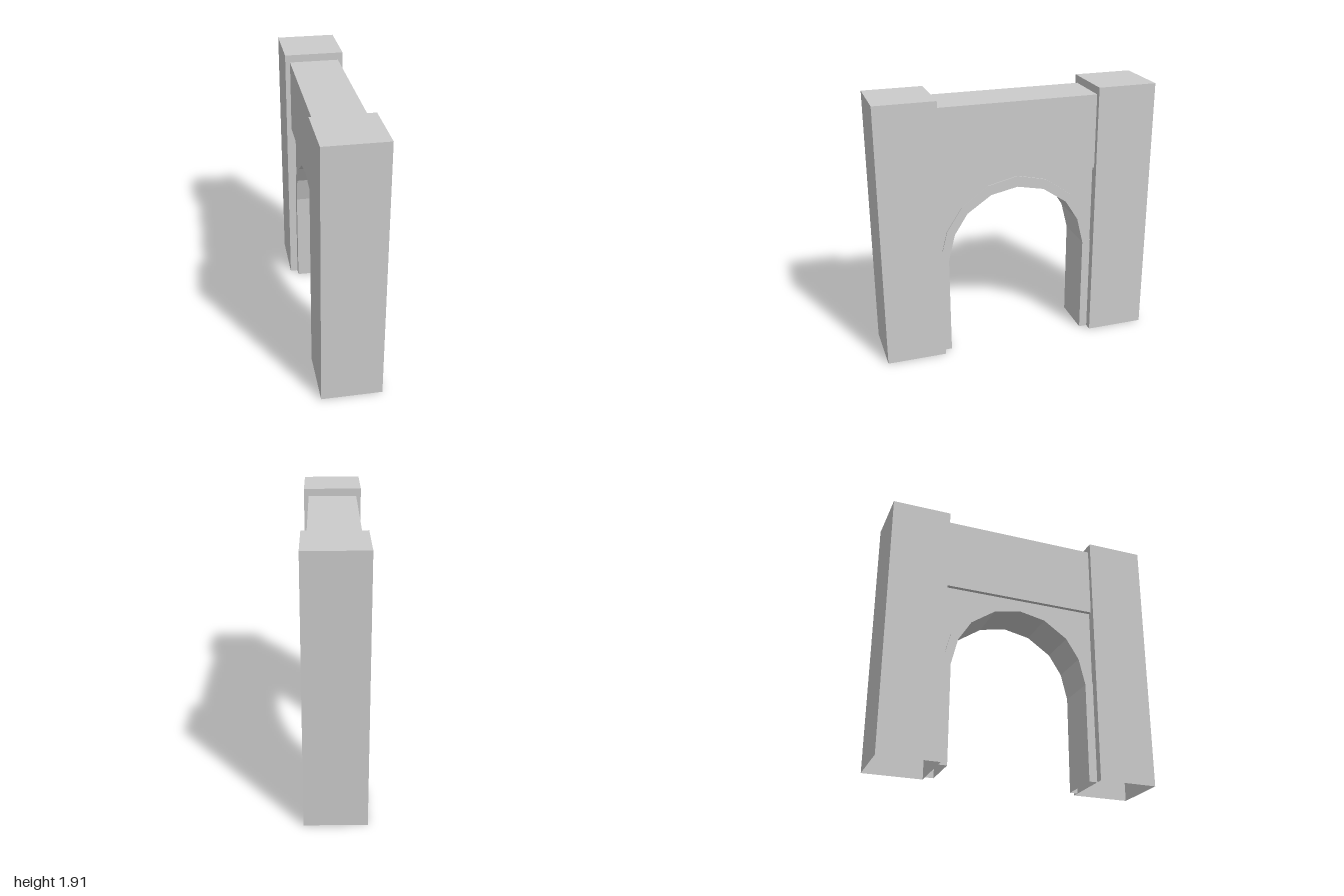
import * as THREE from 'three';

const stone = new THREE.MeshStandardMaterial({ color: 0xcccccc, side: THREE.DoubleSide });
stone.name = 'grey stone';

// The hollow parts stand open on the floor: remove every face lying on y = 0
function openFloor(geometry) {
  const geo = geometry.index ? geometry.toNonIndexed() : geometry;
  const p = geo.attributes.position;
  const keep = [];
  for (let i = 0; i < p.count; i += 3) {
    const onFloor = [0, 1, 2].every((k) => Math.abs(p.getY(i + k)) < 1e-4);
    if (!onFloor) keep.push(i, i + 1, i + 2);
  }
  geo.clearGroups();
  geo.setIndex(keep);
  return geo;
}

// Block resting at height y0, centred on x = 0
function block(name, width, y0, y1, z0, z1) {
  const geo = new THREE.BoxGeometry(width, y1 - y0, z1 - z0);
  geo.translate(0, (y0 + y1) / 2, (z0 + z1) / 2);
  const mesh = new THREE.Mesh(openFloor(geo), stone);
  mesh.name = name;
  return mesh;
}

// Outline in the z-y plane, extruded symmetrically across x
function slab(name, outline, width) {
  const shape = new THREE.Shape(outline.map(([z, y]) => new THREE.Vector2(z, y)));
  const geo = new THREE.ExtrudeGeometry(shape, { depth: width, bevelEnabled: false });
  geo.translate(0, 0, -width / 2);
  geo.rotateY(-Math.PI / 2);
  const mesh = new THREE.Mesh(openFloor(geo), stone);
  mesh.name = name;
  return mesh;
}

// Mirror half an arch (springing to crown) into a full curve
const fullArch = (half) => [
  ...half,
  ...half.slice(0, -1).reverse().map(([z, y]) => [-z, y]),
];

export function createModel() {
  const group = new THREE.Group();
  group.name = 'archway';

  // Two tall piers
  group.add(block('frontPier', 0.43, 0, 1.91, 0.573, 1));
  group.add(block('backPier', 0.43, 0, 1.91, -1, -0.573));

  // Beam across the top
  group.add(block('lintel', 0.36, 1.32, 1.855, -0.573, 0.573));

  // Arch ring with straight jambs
  const inner = fullArch([
    [0.513, 0], [0.513, 0.725], [0.465, 0.92], [0.37, 1.07], [0.195, 1.19], [0, 1.23],
  ]);
  const outer = fullArch([
    [0.573, 0], [0.573, 0.74], [0.52, 0.95], [0.41, 1.12], [0.215, 1.26], [0, 1.31],
  ]);
  group.add(slab('archRing', [...outer, ...inner.slice().reverse()], 0.316));

  // Slightly recessed wall between the arch and the beam
  const spandrel = [...outer.slice(1, -1), [-0.573, 1.32], [0.573, 1.32]];
  group.add(slab('spandrelWall', spandrel, 0.3));

  return group;
}
